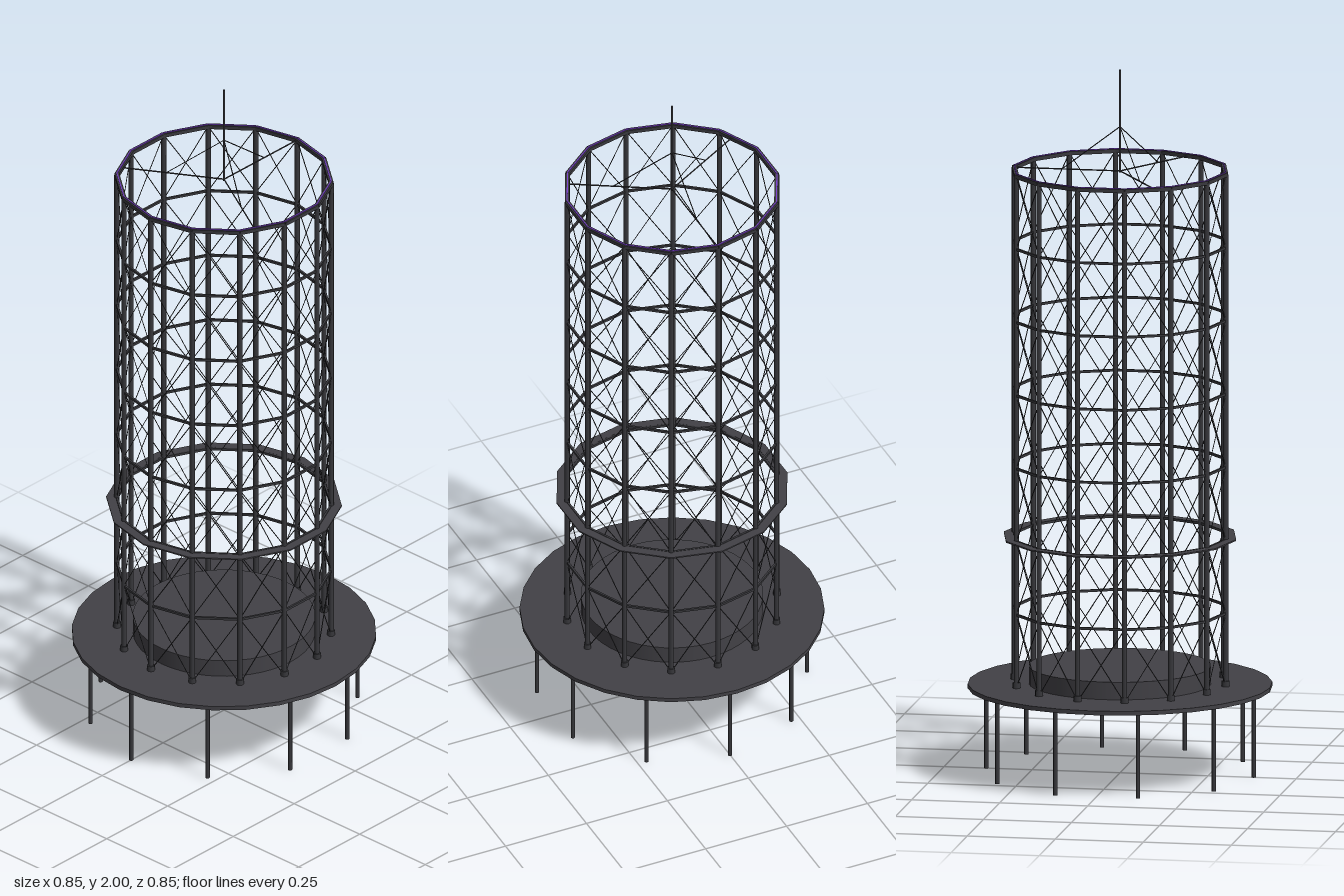
import * as THREE from 'three';
import { mergeGeometries } from 'three/addons/utils/BufferGeometryUtils.js';

const SIDES = 14, RADIUS = 0.3, BAYS = 7;
const BOTTOM = 0.256, TOP = 1.712, BAY = (TOP - BOTTOM) / BAYS;
const UP = new THREE.Vector3(0, 1, 0);

// Point on a circle around the vertical axis
function polar(angle, r, y) {
  return new THREE.Vector3(r * Math.cos(angle), y, r * Math.sin(angle));
}
const corner = (i, y, r = RADIUS) => polar((i * 2 * Math.PI) / SIDES, r, y);

// Round bar between two points
function bar(a, b, r, sides = 6) {
  const dir = b.clone().sub(a);
  const g = new THREE.CylinderGeometry(r, r, dir.length(), sides);
  g.applyQuaternion(new THREE.Quaternion().setFromUnitVectors(UP, dir.clone().normalize()));
  const mid = a.clone().add(b).multiplyScalar(0.5);
  return g.translate(mid.x, mid.y, mid.z);
}

// Level box beam between two points
function beam(a, b, height, width) {
  const g = new THREE.BoxGeometry(a.distanceTo(b), height, width);
  g.rotateY(-Math.atan2(b.z - a.z, b.x - a.x));
  return g.translate((a.x + b.x) / 2, (a.y + b.y) / 2, (a.z + b.z) / 2);
}

// Fourteen-sided ring of beams
function ring(y, height, width) {
  return Array.from({ length: SIDES }, (_, i) => beam(corner(i, y), corner(i + 1, y), height, width));
}

export function createModel() {
  const model = new THREE.Group();
  const material = (name, color) => {
    const m = new THREE.MeshStandardMaterial({ color });
    m.name = name;
    return m;
  };
  const steel = material('dark steel', 0x38383c);
  const plate = material('grey plate', 0x424146);
  const purple = material('purple light', 0x7a3fd0);

  const add = (name, parts, mat) => {
    const mesh = new THREE.Mesh(mergeGeometries(parts), mat);
    mesh.name = name;
    model.add(mesh);
  };

  // Round deck and the low drum on it
  add('deck', [new THREE.CylinderGeometry(0.426, 0.426, 0.012, 28).translate(0, 0.25, 0)], plate);
  add('drum', [new THREE.CylinderGeometry(0.255, 0.255, 0.052, 48).translate(0, 0.28, 0)], plate);

  // Ten legs under the deck
  const legs = [];
  for (let i = 0; i < 10; i++) {
    const a = (i * Math.PI) / 5;
    legs.push(bar(polar(a, 0.38, 0), polar(a, 0.38, 0.246), 0.006, 8));
  }
  add('legs', legs, steel);

  // Columns with small feet
  const columns = [], feet = [];
  for (let i = 0; i < SIDES; i++) {
    columns.push(bar(corner(i, BOTTOM), corner(i, TOP), 0.0075, 8));
    feet.push(bar(corner(i, BOTTOM), corner(i, BOTTOM + 0.016), 0.011, 8));
  }
  add('columns', columns, steel);
  add('columnFeet', feet, steel);

  // Ring girders at each level, and the heavier crown ring
  const girders = [];
  for (let level = 1; level < BAYS; level++) girders.push(...ring(BOTTOM + level * BAY, 0.007, 0.006));
  add('ringGirders', girders, steel);
  add('crownRing', ring(TOP, 0.011, 0.013), steel);
  add('crownLight', ring(TOP + 0.0065, 0.002, 0.003), purple);

  // Crossed tie rods in every panel
  const ties = [];
  for (let i = 0; i < SIDES; i++) {
    for (let level = 0; level < BAYS; level++) {
      const y0 = BOTTOM + level * BAY, y1 = y0 + BAY;
      ties.push(bar(corner(i, y0), corner(i + 1, y1), 0.0014, 4));
      ties.push(bar(corner(i, y1), corner(i + 1, y0), 0.0014, 4));
    }
  }
  add('tieRods', ties, steel);

  // Narrow walkway round the outside of the frame
  const outline = (r) => Array.from({ length: SIDES }, (_, i) => {
    const p = corner(i, 0, r);
    return new THREE.Vector2(p.x, p.z);
  });
  const floor = new THREE.Shape(outline(0.33));
  floor.holes.push(new THREE.Path(outline(0.304)));
  const walkway = new THREE.ExtrudeGeometry(floor, { depth: 0.004, bevelEnabled: false });
  walkway.rotateX(-Math.PI / 2).translate(0, 0.671, 0);
  add('walkway', [walkway], plate);

  // Three spokes and stays carrying the central mast
  const spokes = [], stays = [];
  for (let i = 0; i < 3; i++) {
    const a = (i * 2 * Math.PI) / 3;
    spokes.push(bar(polar(a, 0, TOP), polar(a, 0.295, TOP), 0.002));
    stays.push(bar(polar(a, 0, 1.838), polar(a, 0.165, TOP), 0.0015, 4));
  }
  add('spokes', spokes, steel);
  add('stays', stays, steel);
  add('mast', [bar(polar(0, 0, TOP - 0.004), polar(0, 0, 2), 0.003, 8)], steel);

  return model;
}
